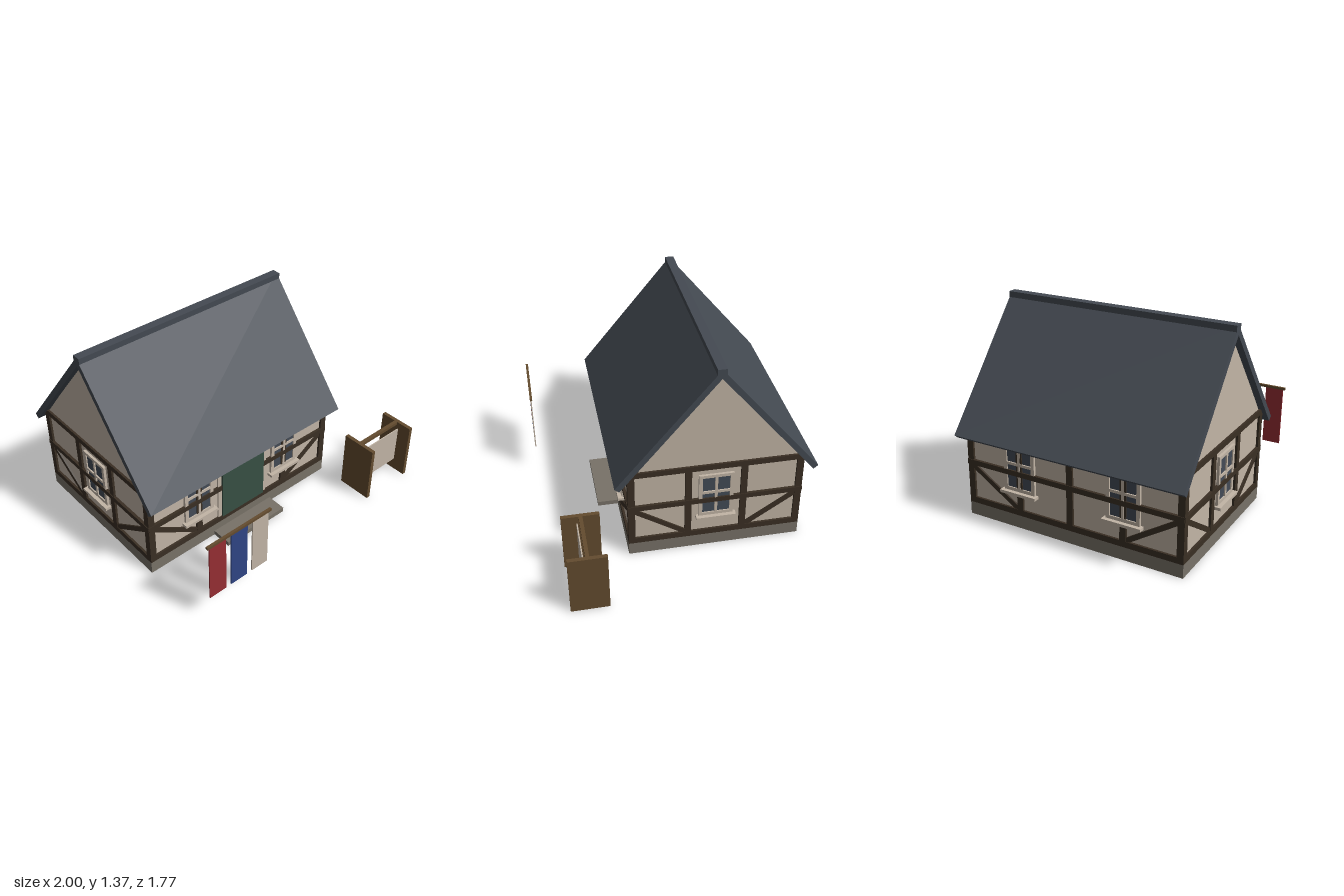
import * as THREE from 'three';

const mat = (name, color) => {
  const m = new THREE.MeshStandardMaterial({ color });
  m.name = name;
  return m;
};

export function createModel() {
  const plaster = mat('plaster', 0xc2b5a6);
  const timber = mat('dark timber', 0x3a2f24);
  const slate = mat('roof slate', 0x444a52);
  const stone = mat('stone', 0x787268);
  const green = mat('door green', 0x375044);
  const glass = mat('window glass', 0x434b56);
  const wood = mat('brown wood', 0x644c2f);
  const red = mat('banner red', 0x952e33);
  const blue = mat('banner blue', 0x2f4585);

  const model = new THREE.Group();
  model.name = 'timberFramedHouse';

  // Box given by its min and max on each axis
  const box = (parent, name, material, [x0, x1], [y0, y1], [z0, z1]) => {
    const mesh = new THREE.Mesh(new THREE.BoxGeometry(x1 - x0, y1 - y0, z1 - z0), material);
    mesh.position.set((x0 + x1) / 2, (y0 + y1) / 2, (z0 + z1) / 2);
    mesh.name = name;
    parent.add(mesh);
    return mesh;
  };

  // Outline in (z, y), extruded along x
  const extrudeX = (name, material, points, x0, x1) => {
    const shape = new THREE.Shape(points.map(([z, y]) => new THREE.Vector2(-z, y)));
    const geo = new THREE.ExtrudeGeometry(shape, { depth: x1 - x0, bevelEnabled: false });
    geo.rotateY(Math.PI / 2);
    const mesh = new THREE.Mesh(geo, material);
    mesh.position.x = x0;
    mesh.name = name;
    model.add(mesh);
  };

  const CX = -0.2, CZ = -0.225, HW = 0.77, HD = 0.575;

  // Foundation, step and plaster core
  box(model, 'foundation', stone, [CX - HW, CX + HW], [0, 0.088], [CZ - HD, CZ + HD]);
  box(model, 'doorStep', stone, [-0.45, 0.05], [0, 0.032], [0.35, 0.49]);
  box(model, 'walls', plaster, [CX - HW + 0.015, CX + HW - 0.015], [0.088, 0.64], [CZ - HD + 0.015, CZ + HD - 0.015]);

  // Gable wall under the roof
  extrudeX('gable', plaster, [[CZ + HD - 0.015, 0.63], [CZ, 1.325], [CZ - HD + 0.015, 0.63]], CX - HW + 0.015, CX + HW - 0.015);

  // Roof slopes and ridge cap
  for (const s of [1, -1]) {
    extrudeX('roofSlope', slate,
      [[CZ, 1.37], [CZ + s * 0.66, 0.58], [CZ + s * 0.63, 0.555], [CZ, 1.31]], -1, 0.6);
  }
  box(model, 'ridgeCap', slate, [-1, 0.6], [1.335, 1.374], [CZ - 0.03, CZ + 0.03]);

  // Corner posts
  for (const sx of [1, -1]) {
    for (const sz of [1, -1]) {
      const post = box(model, 'cornerPost', timber, [-0.0225, 0.0225], [0.088, 0.65], [-0.0225, 0.0225]);
      post.position.x = CX + sx * (HW - 0.0225);
      post.position.z = CZ + sz * (HD - 0.0225);
    }
  }

  // Window with frame, glass, glazing bars and sill; local +z points outward
  const addWindow = (wall, x) => {
    const w = new THREE.Group();
    w.name = 'window';
    w.position.x = x;
    wall.add(w);
    for (const s of [1, -1]) {
      const a = s * 0.09, b = s * 0.115;
      box(w, 'frameSide', plaster, [Math.min(a, b), Math.max(a, b)], [0.255, 0.58], [-0.02, 0.002]);
    }
    box(w, 'frameTop', plaster, [-0.09, 0.09], [0.558, 0.58], [-0.02, 0.002]);
    box(w, 'frameBottom', plaster, [-0.09, 0.09], [0.255, 0.277], [-0.02, 0.002]);
    box(w, 'glass', glass, [-0.09, 0.09], [0.277, 0.558], [-0.02, -0.006]);
    box(w, 'uprightBar', plaster, [-0.009, 0.009], [0.277, 0.558], [-0.02, 0.003]);
    box(w, 'crossBar', plaster, [-0.09, 0.09], [0.432, 0.45], [-0.02, 0.003]);
    box(w, 'sill', plaster, [-0.132, 0.132], [0.236, 0.255], [-0.02, 0.028]);
  };

  // Timber framing of one wall, symmetrical about its middle
  const addWall = (name, pos, turn, half, posts, windows, brace) => {
    const wall = new THREE.Group();
    wall.name = name;
    wall.position.set(...pos);
    wall.rotation.y = turn;
    model.add(wall);
    for (const [y0, y1] of [[0.088, 0.128], [0.36, 0.395], [0.622, 0.66]]) {
      box(wall, 'beam', timber, [-half, half], [y0, y1], [-0.025, y0 === 0.36 ? 0.004 : 0]);
    }
    for (const x of posts) {
      box(wall, 'post', timber, [x - 0.0215, x + 0.0215], [0.1, 0.64], [-0.025, 0]);
    }
    for (const x of windows) addWindow(wall, x);
    // Braces fall from the corner towards the inner post
    const [xo, xi] = brace;
    const dx = xo - xi, dy = 0.225;
    for (const s of [1, -1]) {
      const len = Math.hypot(dx, dy);
      const b = box(wall, 'brace', timber, [-len / 2, len / 2], [-0.0165, 0.0165], [-0.025, -0.003]);
      b.position.x = s * (xo + xi) / 2;
      b.position.y = 0.242;
      b.rotation.z = s * Math.atan2(dy, dx);
    }
    return wall;
  };

  const longBrace = [0.735, 0.385], shortBrace = [0.54, 0.2];
  const front = addWall('frontWall', [CX, 0, CZ + HD], 0, HW, [-0.37, 0.37], [-0.37, 0.37], longBrace);
  addWall('backWall', [CX, 0, CZ - HD], Math.PI, HW, [-0.37, 0, 0.37], [-0.37, 0.37], longBrace);
  addWall('leftWall', [CX + HW, 0, CZ], Math.PI / 2, HD, [-0.1825, 0.1825], [0], shortBrace);
  addWall('rightWall', [CX - HW, 0, CZ], -Math.PI / 2, HD, [-0.1825, 0.1825], [0], shortBrace);

  // Door with its surround
  box(front, 'doorSurround', plaster, [-0.21, 0.21], [0.128, 0.61], [-0.02, -0.005]);
  box(front, 'door', green, [-0.18, 0.18], [0.125, 0.59], [-0.02, 0.006]);

  // Banners hanging from a pole
  const banners = new THREE.Group();
  banners.name = 'banners';
  model.add(banners);
  box(banners, 'bannerPole', wood, [-0.94, -0.45], [0.608, 0.625], [0.867, 0.884]);
  [red, blue, plaster].forEach((m, i) => {
    const x = -0.925 + i * 0.165;
    box(banners, 'banner', m, [x, x + 0.125], [0.195, 0.61], [0.872, 0.88]);
  });

  // Free-standing notice board
  const board = new THREE.Group();
  board.name = 'noticeBoard';
  model.add(board);
  box(board, 'boardSide', wood, [0.585, 0.612], [0, 0.413], [0.535, 0.78]);
  box(board, 'boardSide', wood, [0.973, 1], [0, 0.413], [0.535, 0.78]);
  box(board, 'boardRail', wood, [0.612, 0.973], [0.39, 0.413], [0.643, 0.668]);
  box(board, 'boardPanel', plaster, [0.612, 0.973], [0.085, 0.36], [0.676, 0.684]);

  return model;
}
